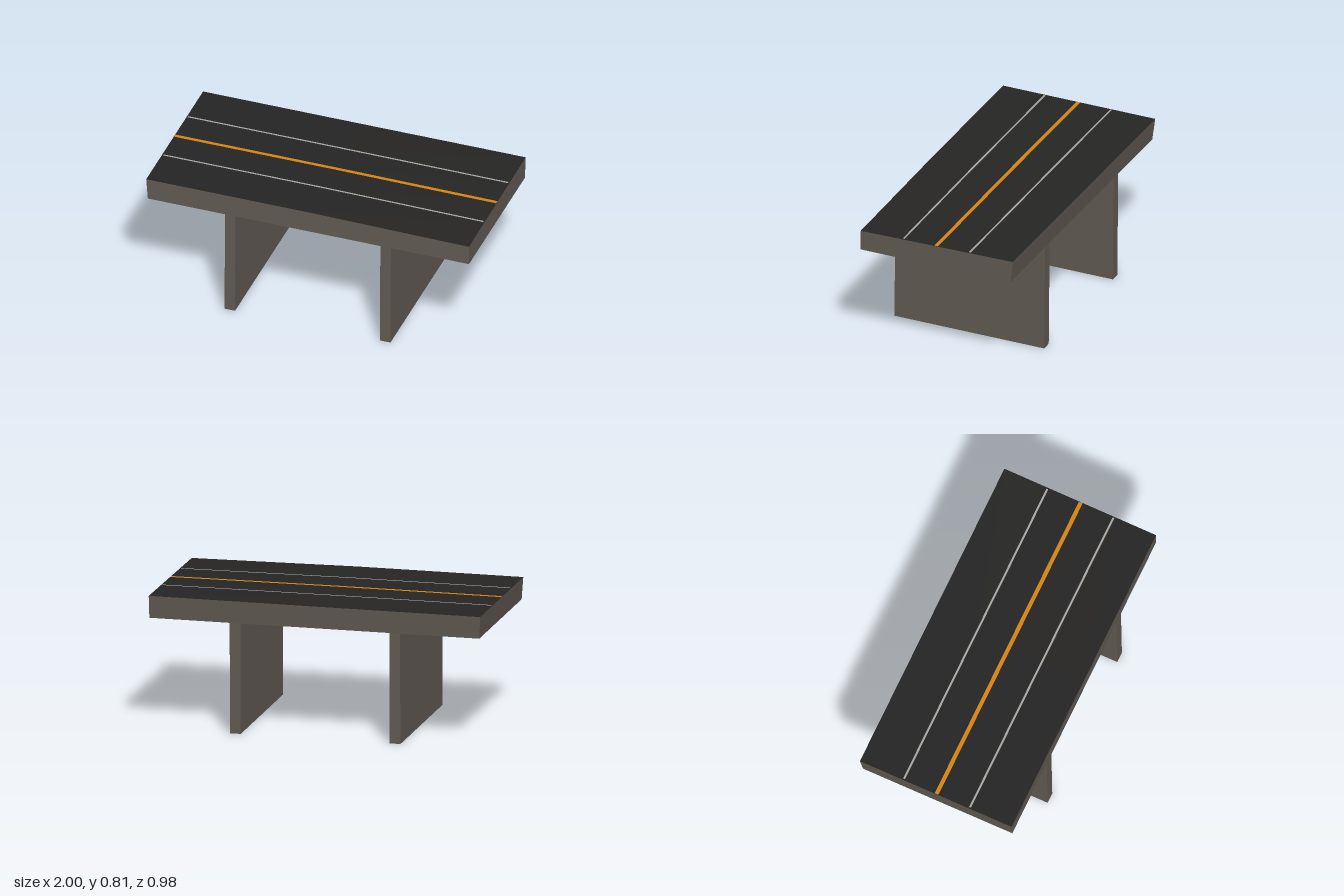
import * as THREE from 'three';

const concrete = new THREE.MeshStandardMaterial({ color: 0x625b54, flatShading: true });
const asphalt = new THREE.MeshStandardMaterial({ color: 0x262524, flatShading: true });
const white = new THREE.MeshStandardMaterial({ color: 0xa9a8a2, flatShading: true });
const orange = new THREE.MeshStandardMaterial({ color: 0xd88410, flatShading: true });

// Flat-shaded mesh from four-cornered faces, corners counter-clockwise
function quadMesh(name, quads, material) {
  const pos = [];
  for (const [a, b, c, d] of quads) pos.push(...a, ...b, ...c, ...a, ...c, ...d);
  const geo = new THREE.BufferGeometry();
  geo.setAttribute('position', new THREE.Float32BufferAttribute(pos, 3));
  geo.computeVertexNormals();
  const mesh = new THREE.Mesh(geo, material);
  mesh.name = name;
  return mesh;
}

// Deck stations along x: the road dips slightly towards +x
const FRONT = 0.485, BACK = -0.49;
const stations = [
  { x: -1, bottomX: -0.99, front: 0.807, back: 0.798 },
  { x: 0, bottomX: 0, front: 0.807, back: 0.798 },
  { x: 1, bottomX: 1, front: 0.795, back: 0.799 },
];

// Point on the road surface at a station
function roadPoint(s, z, lift = 0, x = s.x) {
  const t = (z - BACK) / (FRONT - BACK);
  return [x, THREE.MathUtils.lerp(s.back, s.front, t) + lift, z];
}

// Strip of road surface between two z values
function roadStrip(name, zBack, zFront, lift, inset, material) {
  const quads = [];
  for (let i = 0; i < stations.length - 1; i++) {
    const [s, e] = [stations[i], stations[i + 1]];
    const [xs, xe] = [s, e].map((p) => p.x * (1 - inset));
    quads.push([
      roadPoint(s, zFront, lift, xs), roadPoint(e, zFront, lift, xe),
      roadPoint(e, zBack, lift, xe), roadPoint(s, zBack, lift, xs),
    ]);
  }
  return quadMesh(name, quads, material);
}

// Concrete slab below the road: back, underside, front and ends
function deckSlab() {
  const rings = stations.map((s) => [
    roadPoint(s, FRONT), roadPoint(s, BACK),
    [s.bottomX, 0.664, -0.475], [s.bottomX, 0.673, FRONT],
  ]);
  const quads = [];
  for (let i = 0; i < rings.length - 1; i++) {
    for (let k = 1; k < 4; k++) {
      const n = (k + 1) % 4;
      quads.push([rings[i][k], rings[i + 1][k], rings[i + 1][n], rings[i][n]]);
    }
  }
  quads.push(rings[0], [...rings[2]].reverse());
  return quadMesh('deckSlab', quads, concrete);
}

// Wall pier, leaning slightly along z
function pier(name, x) {
  const geo = new THREE.BoxGeometry(0.065, 1, 0.96);
  const p = geo.attributes.position;
  for (let i = 0; i < p.count; i++) {
    const top = p.getY(i) > 0, front = p.getZ(i) > 0;
    p.setY(i, (top ? 0.665 : 0) + (front ? 0.009 : 0));
    p.setZ(i, (front ? 0.49 : -0.469) - (top ? 0.006 : 0));
  }
  geo.computeVertexNormals();
  const mesh = new THREE.Mesh(geo, concrete);
  mesh.name = name;
  mesh.position.x = x;
  return mesh;
}

export function createModel() {
  const model = new THREE.Group();
  model.name = 'roadBridge';
  model.add(deckSlab());

  // Four lanes, split along the painted lines
  const splits = [BACK, -0.21, 0.002, 0.214, FRONT];
  for (let i = 0; i < 4; i++) {
    model.add(roadStrip(`lane${i + 1}`, splits[i], splits[i + 1], 0, 0, asphalt));
  }

  // Painted lines
  const lines = [
    ['backLaneLine', 0.006, 0.008, white],
    ['centreLine', 0.012, 0.002, orange],
    ['frontLaneLine', 0.006, 0.008, white],
  ];
  lines.forEach(([name, half, inset, material], i) => {
    const z = splits[i + 1];
    model.add(roadStrip(name, z - half, z + half, 0.0015, inset, material));
  });

  // Supports
  model.add(pier('leftPier', 0.483), pier('rightPier', -0.48));
  return model;
}
